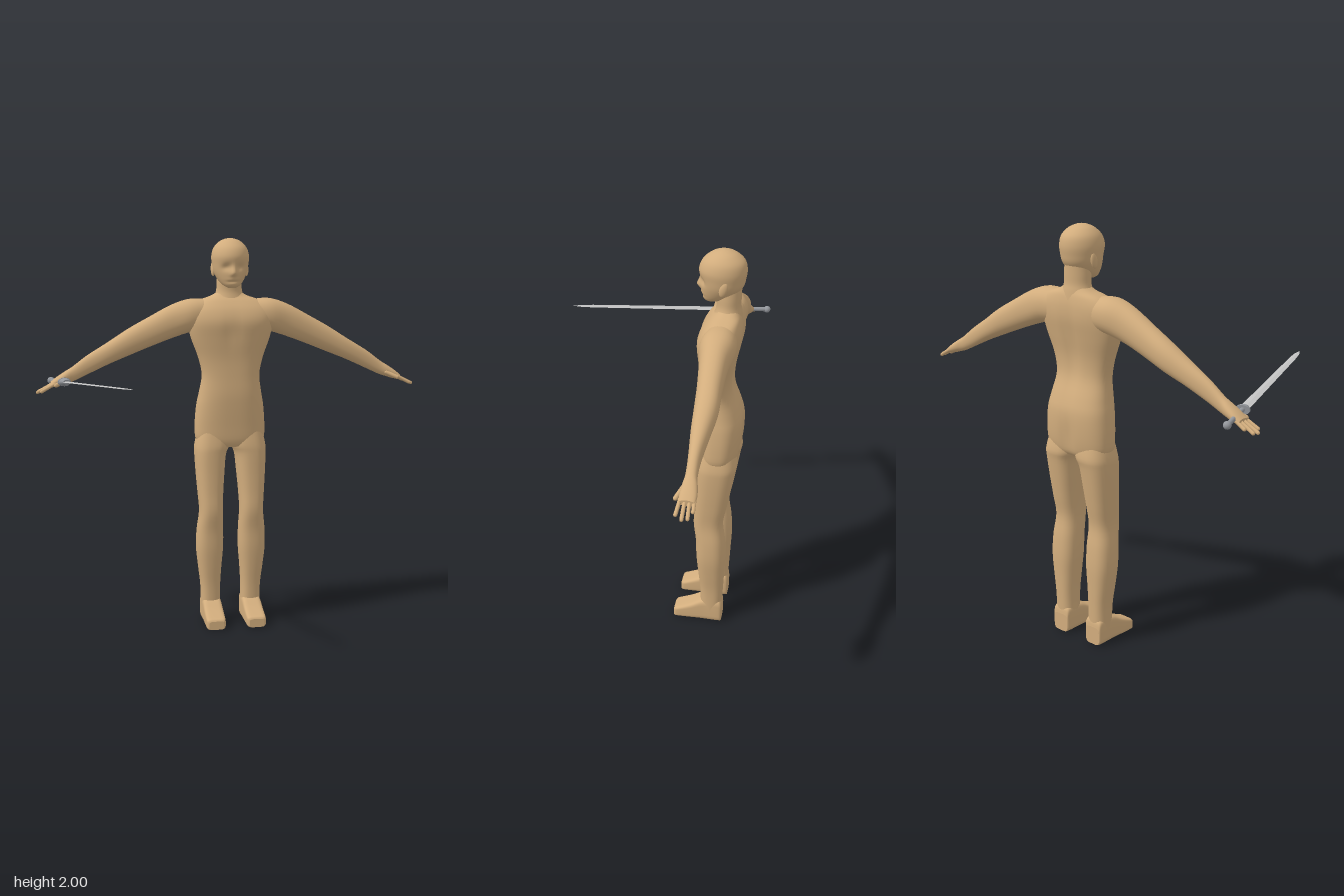
import * as THREE from 'three';

const skin = new THREE.MeshStandardMaterial({ color: 0xd2ad7d });
skin.name = 'skin';
const bladeSteel = new THREE.MeshStandardMaterial({ color: 0xc2c2c2 });
bladeSteel.name = 'blade steel';
const hiltSteel = new THREE.MeshStandardMaterial({ color: 0x94979c });
hiltSteel.name = 'hilt steel';

const V = (x, y, z) => new THREE.Vector3(x, y, z);
const bump = (d, s) => Math.exp(-(d * d) / (2 * s * s));

// Smooth interpolation between profile rows
function rowAt(rows, t) {
  const i = Math.min(Math.floor(t), rows.length - 2), f = t - i;
  const at = (k) => rows[Math.max(0, Math.min(rows.length - 1, k))];
  return rows[i].map((_, c) => {
    const [a, b, d, e] = [at(i - 1)[c], at(i)[c], at(i + 1)[c], at(i + 2)[c]];
    return b + 0.5 * f * (d - a + f * (2 * a - 5 * b + 4 * d - e + f * (3 * (b - d) + e - a)));
  });
}

// Loft through rows [s, u0, u1, v0, v1]: superellipse rings placed along an axis, capped at both ends
function loft(rows, place, { n = 2, seg = 32, sub = 4, sculpt = null } = {}) {
  const pos = [], idx = [], count = (rows.length - 1) * sub;
  const pow = (c) => Math.sign(c) * Math.abs(c) ** (2 / n);
  const ring = (r) => {
    const [s, u0, u1, v0, v1] = rowAt(rows, r / sub);
    for (let j = 0; j < seg; j++) {
      const a = (j / seg) * Math.PI * 2;
      const p = place(s, (u0 + u1) / 2 + ((u1 - u0) / 2) * pow(Math.cos(a)),
        (v0 + v1) / 2 + ((v1 - v0) / 2) * pow(Math.sin(a)));
      if (sculpt) sculpt(p);
      pos.push(p.x, p.y, p.z);
    }
    return place(s, (u0 + u1) / 2, (v0 + v1) / 2);
  };
  for (let r = 0; r <= count; r++) ring(r);
  for (let r = 0; r < count; r++) {
    for (let j = 0; j < seg; j++) {
      const a = r * seg + j, b = r * seg + ((j + 1) % seg);
      idx.push(a, a + seg, b, b, a + seg, b + seg);
    }
  }
  for (const r of [0, count]) {
    const start = pos.length / 3, c = ring(r);
    pos.push(c.x, c.y, c.z);
    for (let j = 0; j < seg; j++) {
      const a = start + j, b = start + ((j + 1) % seg);
      idx.push(start + seg, r ? b : a, r ? a : b);
    }
  }
  const g = new THREE.BufferGeometry();
  g.setAttribute('position', new THREE.Float32BufferAttribute(pos, 3));
  g.setIndex(idx);
  g.computeVertexNormals();
  return g;
}

const alongY = (s, u, v) => V(u, s, v);
const alongX = (s, u, v) => V(s, v, u);
const alongZ = (s, u, v) => V(v, u, s);

// Mirror a geometry across x = 0, keeping faces outward
function mirrored(geo) {
  const g = geo.clone().scale(-1, 1, 1);
  const ix = g.index.array;
  for (let i = 0; i < ix.length; i += 3) [ix[i], ix[i + 1]] = [ix[i + 1], ix[i]];
  g.computeVertexNormals();
  return g;
}

// Rounded rod between two points
function rod(a, b, r) {
  const d = b.clone().sub(a), g = new THREE.CapsuleGeometry(r, d.length() - r, 4, 10);
  g.applyQuaternion(new THREE.Quaternion().setFromUnitVectors(V(0, 1, 0), d.normalize()));
  const m = a.clone().add(b).multiplyScalar(0.5);
  return g.translate(m.x, m.y, m.z);
}

export function createModel() {
  const model = new THREE.Group();
  const add = (name, geo, mat = skin, parent = model) => {
    const m = new THREE.Mesh(geo, mat);
    m.name = name;
    parent.add(m);
    return m;
  };
  const pair = (name, geo) => {
    add('left' + name, geo);
    add('right' + name, mirrored(geo));
  };
  const sym = ([y, w, zb, zf]) => [y, -w, w, zb, zf];

  // Torso, with a spine groove and chest relief
  add('torso', loft([
    [0.94, 0.12, -0.455, -0.31], [0.97, 0.175, -0.475, -0.295], [1.05, 0.182, -0.487, -0.288],
    [1.15, 0.174, -0.488, -0.28], [1.22, 0.161, -0.47, -0.277], [1.31, 0.149, -0.437, -0.28],
    [1.4, 0.167, -0.434, -0.28], [1.5, 0.203, -0.452, -0.27], [1.58, 0.22, -0.467, -0.263],
    [1.64, 0.214, -0.468, -0.282], [1.685, 0.165, -0.46, -0.315], [1.71, 0.095, -0.45, -0.34],
    [1.73, 0.06, -0.44, -0.35],
  ].map(sym), alongY, {
    n: 2.5, seg: 48, sculpt: (p) => {
      if (p.z < -0.4) p.z += 0.014 * bump(p.x, 0.022) * (bump(p.y - 1.02, 0.07) + bump(p.y - 1.45, 0.14));
      else if (p.z > -0.34) p.z -= 0.008 * bump(p.x, 0.025) * bump(p.y - 1.55, 0.06);
    },
  }));

  // Neck
  add('neck', loft([
    [1.67, 0.1, -0.46, -0.32], [1.71, 0.076, -0.455, -0.333], [1.74, 0.066, -0.45, -0.338],
    [1.78, 0.064, -0.45, -0.335], [1.83, 0.06, -0.45, -0.33],
  ].map(sym), alongY));

  // Head, with nose, eye sockets, lips and chin pressed into the face
  add('head', loft([
    [1.752, 0.018, -0.33, -0.292], [1.765, 0.042, -0.37, -0.278], [1.79, 0.064, -0.42, -0.27],
    [1.83, 0.084, -0.455, -0.265], [1.87, 0.092, -0.466, -0.26], [1.91, 0.095, -0.47, -0.255],
    [1.95, 0.084, -0.46, -0.27], [1.98, 0.058, -0.428, -0.303], [1.995, 0.028, -0.395, -0.335],
    [2.0, 0.003, -0.368, -0.36],
  ].map(sym), alongY, {
    seg: 64, sub: 6, sculpt: (p) => {
      if (p.z < -0.34) return;
      const y = p.y, x = Math.abs(p.x);
      p.z += 0.02 * bump(x, 0.011) * bump(y - 1.825, y < 1.825 ? 0.009 : 0.022);
      p.z -= 0.013 * bump(x - 0.034, 0.017) * bump(y - 1.855, 0.013);
      p.z -= 0.007 * bump(x, 0.022) * bump(y - 1.785, 0.005);
      p.z += 0.004 * bump(x, 0.02) * bump(y - 1.793, 0.005);
    },
  }));

  // Ears
  const ear = new THREE.SphereGeometry(1, 16, 12).scale(0.011, 0.037, 0.019);
  pair('Ear', ear.rotateX(-0.25).translate(0.086, 1.845, -0.378));

  // Arms and palms
  pair('Arm', loft([
    [0.1, -0.45, -0.315, 1.54, 1.69], [0.2, -0.46, -0.297, 1.53, 1.698], [0.3, -0.442, -0.312, 1.5, 1.668],
    [0.42, -0.437, -0.325, 1.455, 1.605], [0.52, -0.437, -0.331, 1.415, 1.55], [0.62, -0.42, -0.336, 1.375, 1.487],
    [0.73, -0.402, -0.346, 1.325, 1.42], [0.8, -0.4, -0.348, 1.293, 1.368], [0.84, -0.409, -0.342, 1.28, 1.343],
    [0.88, -0.414, -0.339, 1.268, 1.317], [0.912, -0.41, -0.342, 1.264, 1.292],
  ], alongX, { n: 2.2 }));

  // Fingers and thumbs
  [[0.943, 1.256, -0.408], [0.975, 1.242, -0.391], [0.982, 1.24, -0.367], [0.962, 1.246, -0.338]]
    .forEach(([x, y, z], i) => pair('Finger' + (i + 1), rod(V(0.89, 1.286, -0.405 + i * 0.0195), V(x, y, z), 0.0085)));
  pair('Thumb', rod(V(0.83, 1.305, -0.35), V(0.892, 1.277, -0.323), 0.0105));

  // Legs
  pair('Leg', loft([
    [1.03, 0.003, 0.165, -0.46, -0.305], [0.95, 0.003, 0.184, -0.478, -0.291], [0.9, 0.024, 0.186, -0.471, -0.289],
    [0.8, 0.034, 0.181, -0.456, -0.288], [0.7, 0.042, 0.174, -0.44, -0.285], [0.6, 0.046, 0.168, -0.425, -0.281],
    [0.5, 0.042, 0.179, -0.438, -0.295], [0.4, 0.042, 0.182, -0.445, -0.301], [0.3, 0.05, 0.172, -0.443, -0.312],
    [0.2, 0.056, 0.16, -0.44, -0.324], [0.1, 0.056, 0.157, -0.437, -0.33], [0.03, 0.056, 0.156, -0.436, -0.335],
  ].reverse(), alongY, { n: 2.5 }));

  // Feet
  pair('Foot', loft([
    [-0.44, 0, 0.09, 0.064, 0.148], [-0.425, 0, 0.13, 0.056, 0.156], [-0.345, 0, 0.125, 0.055, 0.156],
    [-0.28, 0, 0.09, 0.055, 0.157], [-0.22, 0, 0.062, 0.056, 0.157], [-0.202, 0, 0.055, 0.06, 0.154],
    [-0.195, 0.002, 0.046, 0.068, 0.146],
  ], alongZ, { n: 5, seg: 40 }));

  // Sword held level in the right hand, its local +z running to the tip
  const sword = new THREE.Group();
  sword.name = 'sword';
  sword.position.set(-0.845, 1.3, -0.285);
  sword.lookAt(-0.6, 1.353, 0.5);
  model.add(sword);

  // Blade: diamond section tapering to a point
  const blade = loft([
    [0, -0.004, 0.004, -0.023, 0.023], [0.72, -0.003, 0.003, -0.016, 0.016],
    [0.78, -0.002, 0.002, -0.012, 0.012], [0.824, -0.0005, 0.0005, -0.001, 0.001],
  ], alongZ, { seg: 4, sub: 1 }).toNonIndexed();
  blade.computeVertexNormals();
  add('blade', blade, bladeSteel, sword);

  // Hilt
  const turned = (r1, r0, len, z) => new THREE.CylinderGeometry(r1, r0, len, 16).rotateX(Math.PI / 2).translate(0, 0, z);
  add('guard', turned(0.018, 0.032, 0.03, 0.005).scale(1, 0.65, 1), hiltSteel, sword);
  add('guardRim', turned(0.033, 0.033, 0.01, -0.013).scale(1, 0.65, 1), hiltSteel, sword);
  add('grip', turned(0.011, 0.011, 0.2, -0.11), hiltSteel, sword);
  add('pommel', new THREE.SphereGeometry(0.018, 16, 12).translate(0, 0, -0.205), hiltSteel, sword);

  return model;
}
